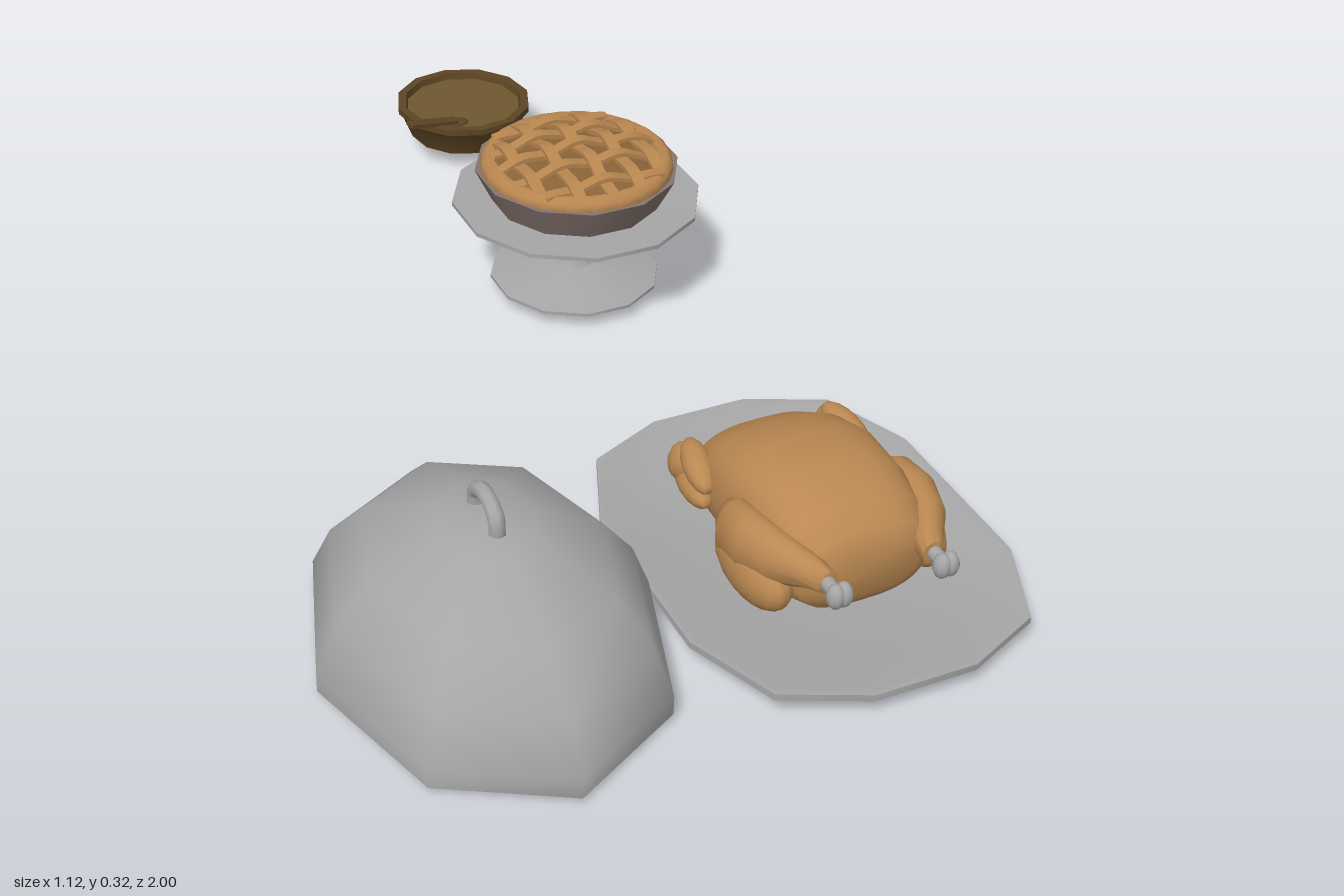
import * as THREE from 'three';
import { toCreasedNormals } from 'three/addons/utils/BufferGeometryUtils.js';

const mat = (name, color, side = THREE.FrontSide) => {
  const m = new THREE.MeshStandardMaterial({ color, side });
  m.name = name;
  return m;
};

// Skin a list of equal-length closed rings of [x, y, z] points
function loft(rings, crease = 1) {
  const n = rings[0].length, index = [];
  for (let i = 0; i < rings.length - 1; i++) {
    for (let j = 0; j < n; j++) {
      const a = i * n + j, b = i * n + (j + 1) % n;
      index.push(a, a + n, b, b, a + n, b + n);
    }
  }
  const g = new THREE.BufferGeometry();
  g.setAttribute('position', new THREE.Float32BufferAttribute(rings.flat(2), 3));
  g.setIndex(index);
  return toCreasedNormals(g, crease);
}

// Sweep a horizontal outline through [scale, height] steps
const stack = (outline, steps, crease) =>
  loft(steps.map(([s, y]) => outline.map(([x, z]) => [x * s, y, z * s])), crease);

const polygon = (n, rx = 1, rz = rx, start = 0) => Array.from({ length: n }, (_, i) => {
  const a = start + (i / n) * Math.PI * 2;
  return [Math.cos(a) * rx, Math.sin(a) * rz];
});

// Sections [z, centre x, centre y, half width, half height], front to back
function sections(list, power = 2, n = 20) {
  const soft = (v) => Math.sign(v) * Math.abs(v) ** (2 / power);
  return loft(list.map(([z, cx, cy, rx, ry]) =>
    polygon(n).map(([c, s]) => [cx + soft(c) * rx, cy + soft(s) * ry, z])), 1.1);
}

function add(parent, name, geometry, material, x = 0, y = 0, z = 0) {
  const m = new THREE.Mesh(geometry, material);
  m.name = name;
  m.position.set(x, y, z);
  parent.add(m);
  return m;
}

function group(parent, name, x, z) {
  const g = new THREE.Group();
  g.name = name;
  g.position.set(x, 0, z);
  parent.add(g);
  return g;
}

export function createModel() {
  const model = new THREE.Group();
  model.name = 'dinnerSet';
  const silver = mat('silver', 0xa6a6a6, THREE.DoubleSide);
  const roast = mat('roastSkin', 0xba8852);
  const crust = mat('pieCrust', 0xb98750, THREE.DoubleSide);
  const filling = mat('pieFilling', 0x8a6337);
  const tin = mat('pieDish', 0x84746e, THREE.DoubleSide);
  const clay = mat('bowlBrown', 0x5c4524, THREE.DoubleSide);
  const gravy = mat('gravy', 0x6e5730);

  // Open eight-sided dome with a loop handle
  const cover = group(model, 'domeCover', -0.285, 0.63);
  add(cover, 'dome', stack(polygon(8, 0.275, 0.355), [
    [0.96, 0.045], [0.965, 0.014], [1, 0.014], [1, 0.048], [0.885, 0.126], [0.69, 0.192], [0.275, 0.258], [0, 0.265],
  ], 1.2), silver);
  const arch = new THREE.CatmullRomCurve3([[-0.042, 0.25], [-0.038, 0.285], [0, 0.302], [0.038, 0.285], [0.042, 0.25]]
    .map(([z, y]) => new THREE.Vector3(0, y, z)));
  add(cover, 'coverHandle', new THREE.TubeGeometry(arch, 12, 0.0135, 8), silver);

  // Oblong twelve-cornered platter
  const quarter = [[0.287, 0.16], [0.223, 0.312], [0.087, 0.371]];
  const flip = (sx, sz) => quarter.map(([x, z]) => [x * sx, z * sz]);
  const outline = [...flip(1, 1), ...flip(-1, 1).reverse(), ...flip(-1, -1), ...flip(1, -1).reverse()];
  const roastDish = group(model, 'roastDish', 0.272, 0.622);
  add(roastDish, 'platter', stack(outline, [
    [0, 0.003], [0.84, 0.003], [1, 0.036], [1, 0.048], [0.96, 0.048], [0.76, 0.028], [0, 0.028],
  ], 0.6), silver);

  // Roast bird
  const bird = group(model, 'roastBird', 0.272, 0);
  add(bird, 'birdBody', sections([
    [0.815, 0, 0.12, 0, 0], [0.815, 0, 0.12, 0.085, 0.045], [0.8, 0, 0.12, 0.112, 0.07],
    [0.76, 0, 0.125, 0.128, 0.09], [0.69, 0, 0.132, 0.137, 0.104], [0.6, 0, 0.131, 0.142, 0.103],
    [0.52, 0, 0.118, 0.136, 0.09], [0.46, 0, 0.1, 0.118, 0.072], [0.425, 0, 0.086, 0.085, 0.054],
    [0.41, 0, 0.08, 0.058, 0.042], [0.375, 0, 0.066, 0.045, 0.026], [0.36, 0, 0.062, 0.028, 0.014], [0.36, 0, 0.062, 0, 0],
  ], 2.7, 28), roast);
  for (const s of [-1, 1]) {
    const side = s < 0 ? 'right' : 'left';
    const thigh = add(bird, side + 'Thigh', new THREE.SphereGeometry(1, 18, 12), roast, s * 0.137, 0.092, 0.7);
    thigh.scale.set(0.044, 0.058, 0.1);
    add(bird, side + 'Drumstick', sections([
      [0.845, s * 0.092, 0.148, 0, 0], [0.843, s * 0.092, 0.148, 0.018, 0.02], [0.815, s * 0.102, 0.148, 0.026, 0.027],
      [0.77, s * 0.125, 0.143, 0.036, 0.043], [0.71, s * 0.142, 0.136, 0.039, 0.055],
      [0.65, s * 0.143, 0.126, 0.036, 0.057], [0.615, s * 0.137, 0.118, 0.024, 0.042], [0.603, s * 0.135, 0.114, 0, 0],
    ]), roast);
    // Leg bone with a double knob
    const bone = add(bird, side + 'LegBone', new THREE.CylinderGeometry(0.012, 0.012, 0.06, 10), silver, s * 0.093, 0.149, 0.855);
    bone.rotation.x = Math.PI / 2;
    for (const k of [-1, 1]) {
      const knob = add(bird, side + 'BoneKnob', new THREE.SphereGeometry(0.016, 10, 8), silver, s * 0.092 + k * 0.007, 0.151, 0.878);
      knob.scale.set(0.9, 1.4, 1);
    }
    // Folded wing: upper part, lower part and tip
    for (const [name, y, z, ry, rz, tilt] of [
      ['UpperWing', 0.145, 0.505, 0.024, 0.06, 0.2],
      ['LowerWing', 0.1, 0.495, 0.024, 0.072, -0.15],
      ['WingElbow', 0.12, 0.455, 0.038, 0.03, 0.3],
    ]) {
      const w = add(bird, side + name, new THREE.SphereGeometry(1, 14, 10), roast, s * 0.137, y, z);
      w.scale.set(0.025, ry, rz);
      w.rotation.set(tilt, s * 0.18, 0);
    }
  }

  // Pedestal stand
  const dessert = group(model, 'dessert', 0.273, -0.273);
  const twelve = polygon(12, 1, 1, Math.PI / 12);
  add(dessert, 'cakeStand', stack(twelve, [
    [0, 0.048], [0.05, 0.046], [0.162, 0.03], [0.162, 0.036], [0.09, 0.05], [0.038, 0.06], [0.025, 0.08],
    [0.025, 0.145], [0.045, 0.165], [0.1, 0.186], [0.235, 0.195], [0.235, 0.203], [0, 0.2],
  ], 0.8), silver);

  // Pie in its dish
  add(dessert, 'pieDish', stack(twelve, [
    [0, 0.203], [0.16, 0.203], [0.192, 0.267], [0.178, 0.267], [0.165, 0.25],
  ], 0.7), tin);
  add(dessert, 'crustRim', stack(polygon(24), [
    [0.165, 0.25], [0.181, 0.267], [0.178, 0.28], [0.168, 0.288], [0.154, 0.286], [0.148, 0.27],
  ]), crust);
  add(dessert, 'pieFilling', stack(polygon(24), [[0.165, 0.265], [0.15, 0.28], [0.1, 0.291], [0, 0.297]]), filling);

  // Woven lattice strips arched over the filling
  const lattice = group(dessert, 'lattice', 0, 0);
  for (let dir = 0; dir < 2; dir++) {
    for (let i = -2; i <= 2; i++) {
      const off = i * 0.06, half = Math.sqrt(0.168 ** 2 - off ** 2);
      const g = new THREE.BoxGeometry(half * 2, 0.008, 0.023, 24, 1, 1);
      const p = g.attributes.position;
      for (let v = 0; v < p.count; v++) {
        const x = p.getX(v), r2 = x * x + off * off;
        const weave = 0.007 * Math.cos((x / 0.06 + i + dir) * Math.PI);
        p.setY(v, p.getY(v) + 0.31 - r2 * 1.05 + weave * (1 - r2 / 0.05));
      }
      g.computeVertexNormals();
      const strip = add(lattice, 'latticeStrip', g, crust);
      strip.rotation.y = dir * Math.PI / 2;
      strip.position.set(dir ? off : 0, 0, dir ? 0 : off);
    }
  }

  // Gravy bowl and spoon
  const sauce = group(model, 'sauce', 0.283, -0.863);
  add(sauce, 'sauceBowl', stack(polygon(12, 1, 1, 0.1), [
    [0, 0.043], [0.112, 0.043], [0.13, 0.088], [0.141, 0.1], [0.141, 0.113], [0.124, 0.113], [0.118, 0.09],
  ], 0.7), clay);
  add(sauce, 'gravySurface', stack(polygon(12, 1, 1, 0.1), [[0.122, 0.1], [0, 0.1]]), gravy);
  const spoon = add(sauce, 'spoonHandle', new THREE.BoxGeometry(0.115, 0.008, 0.024), clay, -0.1, 0.118, 0.08);
  spoon.rotation.set(0, 0.2, -0.2);
  const scoop = add(sauce, 'spoonBowl', new THREE.SphereGeometry(1, 12, 8), clay, -0.045, 0.1, 0.068);
  scoop.scale.set(0.028, 0.008, 0.018);
  return model;
}
